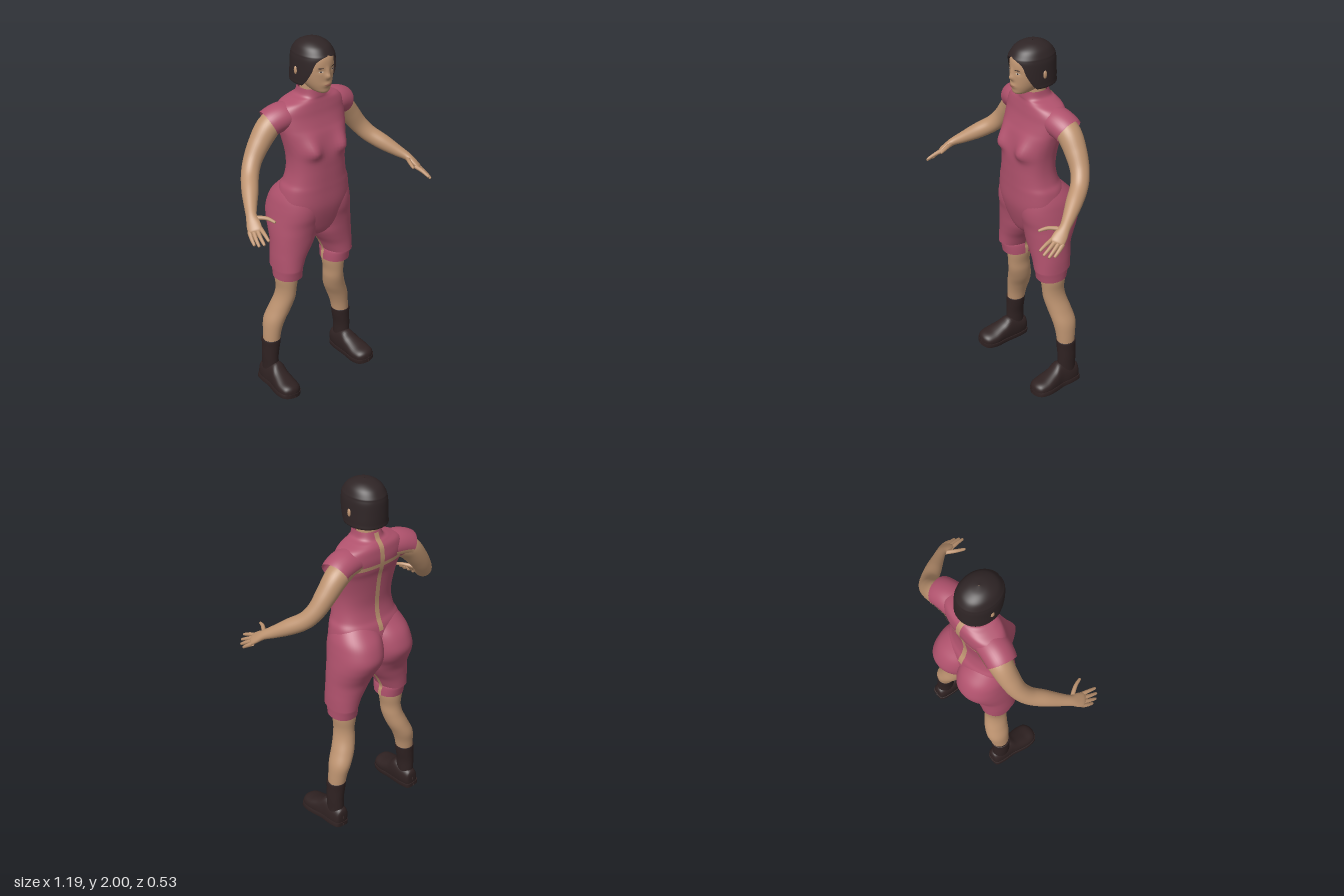
import * as THREE from 'three';
import { mergeVertices } from 'three/addons/utils/BufferGeometryUtils.js';

const paint = (name, color) => new THREE.MeshStandardMaterial({ name, color, side: THREE.DoubleSide });
const PI = Math.PI;
const vec = (a) => new THREE.Vector3(a[0], a[1], a[2]);
const bell = (d, s) => Math.exp(-((d / s) ** 2));

// Smooth interpolation down a table of cross-sections, v in 0..1
function at(rows, v) {
  const last = rows.length - 1;
  const i = Math.min(Math.floor(v * last), last - 1);
  const t = v * last - i;
  const [a, b, c, d] = [Math.max(i - 1, 0), i, i + 1, Math.min(i + 2, last)].map((k) => rows[k]);
  return b.map((p, k) => p + 0.5 * t * (c[k] - a[k]
    + t * (2 * a[k] - 5 * p + 4 * c[k] - d[k] + t * (3 * (p - c[k]) + d[k] - a[k]))));
}

// Swept surface; rows are [x, y, z, radius along side, radius across]
function loft(rows, { axis, side = [1, 0, 0], n = 2, bump } = {}) {
  const pw = (q) => Math.sign(q) * Math.abs(q) ** (2 / n);
  return (a, v) => {
    const r = at(rows, v);
    const t = axis ? vec(axis)
      : vec(at(rows, Math.min(v + 0.01, 1))).sub(vec(at(rows, Math.max(v - 0.01, 0)))).normalize();
    const s = vec(side).addScaledVector(t, -vec(side).dot(t)).normalize();
    const b = t.clone().cross(s);
    const p = vec(r).addScaledVector(s, r[3] * pw(Math.cos(a))).addScaledVector(b, r[4] * pw(Math.sin(a)));
    if (bump) bump(p);
    return p;
  };
}

// Grid mesh over f(u, v), welded for smooth normals
function surf(name, mat, f, nu, nv, u0 = 0, u1 = 2 * PI) {
  const pos = [], idx = [];
  for (let j = 0; j <= nv; j++) for (let i = 0; i <= nu; i++) {
    pos.push(...f(u0 + (u1 - u0) * i / nu, j / nv).toArray());
    if (i < nu && j < nv) {
      const k = j * (nu + 1) + i;
      idx.push(k, k + 1, k + nu + 1, k + 1, k + nu + 2, k + nu + 1);
    }
  }
  let geo = new THREE.BufferGeometry();
  geo.setAttribute('position', new THREE.Float32BufferAttribute(pos, 3));
  geo.setIndex(idx);
  geo = mergeVertices(geo, 1e-5);
  geo.computeVertexNormals();
  const mesh = new THREE.Mesh(geo, mat);
  mesh.name = name;
  return mesh;
}

// Horizontal body sections: [y, half width, front z, back z, centre x]
const sections = (list) => list.map(([y, w, f, b, cx = 0]) => [cx, y, (f + b) / 2, w, (f - b) / 2]);
const DOWN = [0, -1, 0];

// Thin patch lying on a body surface, at the front (dir 1) or the back (dir -1)
function decal(name, mat, f, rows, n, dir, [xc, yc, w, h], lens, nu = 8, nv = 4) {
  return surf(name, mat, (u, v) => {
    const y = yc + (0.5 - v) * h * (lens ? Math.sin(PI * u) : 1);
    const x = xc - dir * (u - 0.5) * w;
    let lo = 0, hi = 1;
    for (let k = 0; k < 24; k++) {
      const m = (lo + hi) / 2;
      if (at(rows, m)[1] > y) lo = m; else hi = m;
    }
    const q = Math.min(Math.abs(x) / at(rows, lo)[3], 1);
    const p = f(dir * (PI / 2 - Math.sign(x) * Math.asin(q ** (n / 2))), lo);
    p.z += dir * 0.004;
    return p;
  }, nu, nv, 0, 1);
}

export function createModel() {
  const skin = paint('skin', 0xbd9370), suit = paint('rose suit', 0xb0526d);
  const hair = paint('dark hair', 0x2f2526), leather = paint('dark leather', 0x2f2222);
  const lip = paint('lips', 0xa06a58), eyeWhite = paint('eye white', 0xcfc0b0);
  const model = new THREE.Group();
  model.name = 'woman';

  // Suit body, from collar to crotch
  const torsoRows = sections([
    [1.742, 0.068, 0.0, -0.138], [1.705, 0.078, 0.004, -0.152], [1.69, 0.115, 0.004, -0.168],
    [1.67, 0.17, 0.008, -0.182], [1.64, 0.197, 0.014, -0.188], [1.6, 0.203, 0.022, -0.19],
    [1.55, 0.198, 0.038, -0.182], [1.5, 0.187, 0.056, -0.168], [1.4, 0.167, 0.078, -0.155],
    [1.32, 0.165, 0.08, -0.15], [1.25, 0.177, 0.08, -0.163], [1.2, 0.197, 0.08, -0.185],
    [1.1, 0.205, 0.078, -0.2], [1.0, 0.17, 0.055, -0.19], [0.93, 0.08, 0.028, -0.15], [0.895, 0.02, -0.02, -0.1],
  ]);
  const torso = loft(torsoRows, { axis: DOWN, n: 2.4, bump: (p) => {
    if (p.z > 0) p.z += 0.034 * bell(Math.abs(p.x) - 0.095, 0.045) * bell(p.y - 1.43, p.y < 1.43 ? 0.035 : 0.07);
  } });
  model.add(surf('suitBody', suit, torso, 64, 90));
  model.add(decal('backOpening', skin, torso, torsoRows, 2.4, -1, [0, 1.46, 0.028, 0.55], false, 4, 50));
  model.add(decal('shoulderOpening', skin, torso, torsoRows, 2.4, -1, [0, 1.575, 0.32, 0.022], false, 30, 2));

  // Neck and head with modelled nose, lips and eye sockets
  const neck = sections([[1.83, 0.052, -0.02, -0.13], [1.74, 0.053, -0.02, -0.13], [1.67, 0.06, -0.02, -0.135]]);
  model.add(surf('neck', skin, loft(neck, { axis: DOWN }), 32, 8));
  const headRows = sections([
    [1.97, 0.01, -0.04, -0.07], [1.955, 0.06, 0.02, -0.12], [1.92, 0.085, 0.056, -0.165], [1.87, 0.089, 0.064, -0.17],
    [1.83, 0.086, 0.062, -0.16], [1.79, 0.073, 0.061, -0.13], [1.76, 0.056, 0.058, -0.09],
    [1.74, 0.038, 0.054, -0.05], [1.73, 0.015, 0.038, -0.01], [1.729, 0.001, 0.02, 0.015],
  ]);
  const head = loft(headRows, { axis: DOWN, n: 2.2, bump: (p) => {
    if (p.z < 0) return;
    p.z += 0.018 * bell(p.x, 0.014) * bell(p.y - 1.826, 0.016) + 0.009 * bell(p.x, 0.01) * bell(p.y - 1.852, 0.022)
      + 0.008 * bell(p.x, 0.024) * bell(p.y - 1.782, 0.013) - 0.006 * bell(Math.abs(p.x) - 0.036, 0.018) * bell(p.y - 1.857, 0.012);
  } });
  model.add(surf('head', skin, head, 80, 64));
  model.add(decal('mouth', lip, head, headRows, 2.2, 1, [0, 1.782, 0.046, 0.014], true));
  for (const s of [-1, 1]) {
    model.add(decal('eye', eyeWhite, head, headRows, 2.2, 1, [s * 0.037, 1.855, 0.028, 0.009], true));
    const iris = decal('iris', hair, head, headRows, 2.2, 1, [s * 0.037, 1.855, 0.009, 0.008], true);
    iris.position.z = 0.001;
    model.add(iris);
    model.add(decal('eyebrow', hair, head, headRows, 2.2, 1, [s * 0.038, 1.874, 0.036, 0.005], true));
  }

  // Bobbed hair; the sixth column is half the face opening in degrees
  const open = [0, 0, 0, 0, 22, 38, 48, 60, 70, 75];
  const hairRows = sections([
    [2.0, 0.002, -0.055, -0.059], [1.992, 0.045, -0.008, -0.105], [1.97, 0.078, 0.037, -0.147], [1.938, 0.096, 0.063, -0.172],
    [1.924, 0.1, 0.07, -0.177], [1.9, 0.104, 0.072, -0.181], [1.85, 0.106, 0.071, -0.183], [1.8, 0.107, 0.062, -0.183],
    [1.775, 0.103, 0.05, -0.18], [1.772, 0.06, 0.0, -0.14],
  ]).map((r, i) => [...r, open[i]]);
  const hairShell = loft(hairRows, { axis: DOWN, n: 2.1 });
  model.add(surf('bobHair', hair, (u, v) => {
    const gap = Math.max(0, at(hairRows, v)[5]) * PI / 180;
    return hairShell(PI / 2 + gap + u * (2 * PI - 2 * gap), v);
  }, 64, 54, 0, 1));

  // Everything that is mirrored, built for the left side
  function buildSide() {
    const g = new THREE.Group();
    const ear = new THREE.Mesh(new THREE.SphereGeometry(1, 16, 12), skin);
    ear.name = 'ear';
    ear.scale.set(0.008, 0.022, 0.012);
    ear.position.set(0.104, 1.848, -0.062);
    g.add(ear);

    // Arm and palm
    const across = [0.76, -0.38, -0.53];
    const arm = [
      [0.16, 1.6, -0.115, 0.06, 0.06], [0.235, 1.56, -0.12, 0.064, 0.062], [0.3, 1.485, -0.118, 0.057, 0.055],
      [0.355, 1.41, -0.105, 0.049, 0.048], [0.4, 1.352, -0.07, 0.046, 0.045], [0.45, 1.305, -0.005, 0.043, 0.042],
      [0.497, 1.263, 0.06, 0.033, 0.031], [0.527, 1.237, 0.105, 0.028, 0.022], [0.542, 1.212, 0.14, 0.036, 0.018],
      [0.553, 1.19, 0.168, 0.036, 0.014], [0.558, 1.182, 0.178, 0.02, 0.004],
    ];
    g.add(surf('arm', skin, loft(arm, { side: across }), 32, 70));

    // Fingers and thumb: knuckle, bend, tip
    [
      [[0.527, 1.2, 0.172], [0.535, 1.187, 0.218], [0.541, 1.168, 0.26]],
      [[0.542, 1.194, 0.168], [0.555, 1.172, 0.212], [0.562, 1.15, 0.252]],
      [[0.558, 1.186, 0.16], [0.572, 1.163, 0.199], [0.58, 1.14, 0.234]],
      [[0.572, 1.18, 0.147], [0.583, 1.158, 0.178], [0.588, 1.137, 0.206]],
      [[0.515, 1.232, 0.125], [0.484, 1.237, 0.172], [0.467, 1.228, 0.216]],
    ].forEach(([a, b, c], i) => {
      const tip = c.map((q, k) => q + (q - b[k]) * 0.06);
      const rows = [[...a, 0.012, 0.012], [...b, 0.01, 0.01], [...c, 0.007, 0.007], [...tip, 0.0005, 0.0005]];
      g.add(surf(i === 4 ? 'thumb' : 'finger', skin, loft(rows, { side: across }), 10, 14));
    });

    // Cap sleeve with the open seam behind
    const cap = [[0.1, 1.61, -0.095, 0.08, 0.068], [0.17, 1.604, -0.1, 0.083, 0.073],
      [0.215, 1.593, -0.107, 0.081, 0.072], [0.242, 1.579, -0.113, 0.078, 0.07]];
    g.add(surf('capSleeve', suit, loft(cap, { side: [0, 0, 1] }), 40, 14));
    const seam = cap.map((r) => [...r.slice(0, 3), r[3] + 0.003, r[4] + 0.003]);
    g.add(surf('sleeveOpening', skin, loft(seam, { side: [0, 0, 1] }), 4, 14, PI - 0.45, PI - 0.15));

    // Hip, buttock and thigh of the suit
    const hipList = [
      [1.25, 0.1, 0.04, -0.14, 0.06], [1.2, 0.112, 0.05, -0.185, 0.08], [1.15, 0.124, 0.06, -0.23, 0.09],
      [1.1, 0.13, 0.066, -0.254, 0.095], [1.05, 0.133, 0.063, -0.263, 0.1], [1.0, 0.135, 0.052, -0.247, 0.105],
      [0.95, 0.127, 0.045, -0.22, 0.117], [0.9, 0.12, 0.04, -0.197, 0.126], [0.85, 0.106, 0.035, -0.187, 0.142],
      [0.8, 0.09, 0.031, -0.18, 0.16], [0.742, 0.077, 0.03, -0.175, 0.173],
    ];
    g.add(surf('suitThigh', suit, loft(sections(hipList), { axis: DOWN, n: 2.15 }), 48, 50));
    const cuff = [[0.75, 0.07, 0.018, -0.165, 0.17], [0.735, 0.074, 0.02, -0.167, 0.168],
      [0.71, 0.075, 0.016, -0.162, 0.166], [0.678, 0.075, 0.011, -0.156, 0.165]];
    g.add(surf('hemCuff', suit, loft(sections(cuff), { axis: DOWN, n: 2.15 }), 48, 10));
    const inner = [...hipList.slice(7), ...cuff.slice(2)].map(([y, w, f, b, cx]) => [y, w + 0.004, f, b, cx]);
    g.add(surf('inseamOpening', skin, loft(sections(inner), { axis: DOWN, n: 2.15 }), 4, 24, PI + 0.02, PI + 0.24));

    // Bare leg and sock
    const leg = [
      [0.165, 0.8, -0.085, 0.06, 0.068], [0.165, 0.68, -0.085, 0.063, 0.07], [0.167, 0.6, -0.085, 0.053, 0.064],
      [0.173, 0.54, -0.092, 0.055, 0.065], [0.195, 0.47, -0.108, 0.059, 0.067], [0.225, 0.4, -0.12, 0.057, 0.066],
      [0.242, 0.33, -0.12, 0.049, 0.056], [0.25, 0.25, -0.118, 0.044, 0.048],
    ];
    g.add(surf('leg', skin, loft(leg, { axis: DOWN }), 36, 44));
    const sock = [[0.25, 0.278, -0.118, 0.042, 0.046], [0.251, 0.284, -0.118, 0.052, 0.054], [0.254, 0.24, -0.118, 0.049, 0.053],
      [0.26, 0.18, -0.118, 0.044, 0.052], [0.26, 0.12, -0.118, 0.042, 0.053], [0.26, 0.06, -0.118, 0.042, 0.05]];
    g.add(surf('sock', leather, loft(sock, { axis: DOWN }), 36, 24));

    // Shoe, swept from heel to toe, rolled slightly inward
    const shoe = new THREE.Group();
    shoe.name = 'shoe';
    const upper = [
      [0.26, 0.055, -0.186, 0.003, 0.01], [0.26, 0.05, -0.178, 0.036, 0.055], [0.26, 0.05, -0.13, 0.048, 0.072],
      [0.26, 0.05, -0.065, 0.051, 0.088], [0.264, 0.045, -0.02, 0.057, 0.062], [0.266, 0.036, 0.035, 0.064, 0.046],
      [0.267, 0.032, 0.083, 0.056, 0.038], [0.267, 0.03, 0.105, 0.032, 0.025], [0.267, 0.03, 0.112, 0.002, 0.004],
    ];
    shoe.add(surf('shoeUpper', leather,
      loft(upper, { axis: [0, 0, 1], n: 2.3, bump: (p) => { p.y = Math.max(p.y, 0.015); } }), 36, 44));
    const sole = upper.map(([x, , z, w]) => [x, 0.014, z * 1.02, w * 1.07, 0.06]);
    shoe.add(surf('sole', leather,
      loft(sole, { axis: [0, 0, 1], n: 3, bump: (p) => { p.y = THREE.MathUtils.clamp(p.y, 0.002, 0.026); } }), 36, 44));
    const footPatch = new THREE.Mesh(new THREE.CylinderGeometry(0.03, 0.03, 0.004, 24), skin);
    footPatch.name = 'bareSolePatch';
    footPatch.scale.z = 2.6;
    footPatch.position.set(0.262, 0.001, -0.04);
    shoe.add(footPatch);
    shoe.rotation.z = 0.1;
    shoe.position.set(0.006, -0.018, 0);
    g.add(shoe);
    return g;
  }
  const left = buildSide();
  left.name = 'leftSide';
  const right = buildSide();
  right.name = 'rightSide';
  right.scale.x = -1;
  model.add(left, right);
  return model;
}
